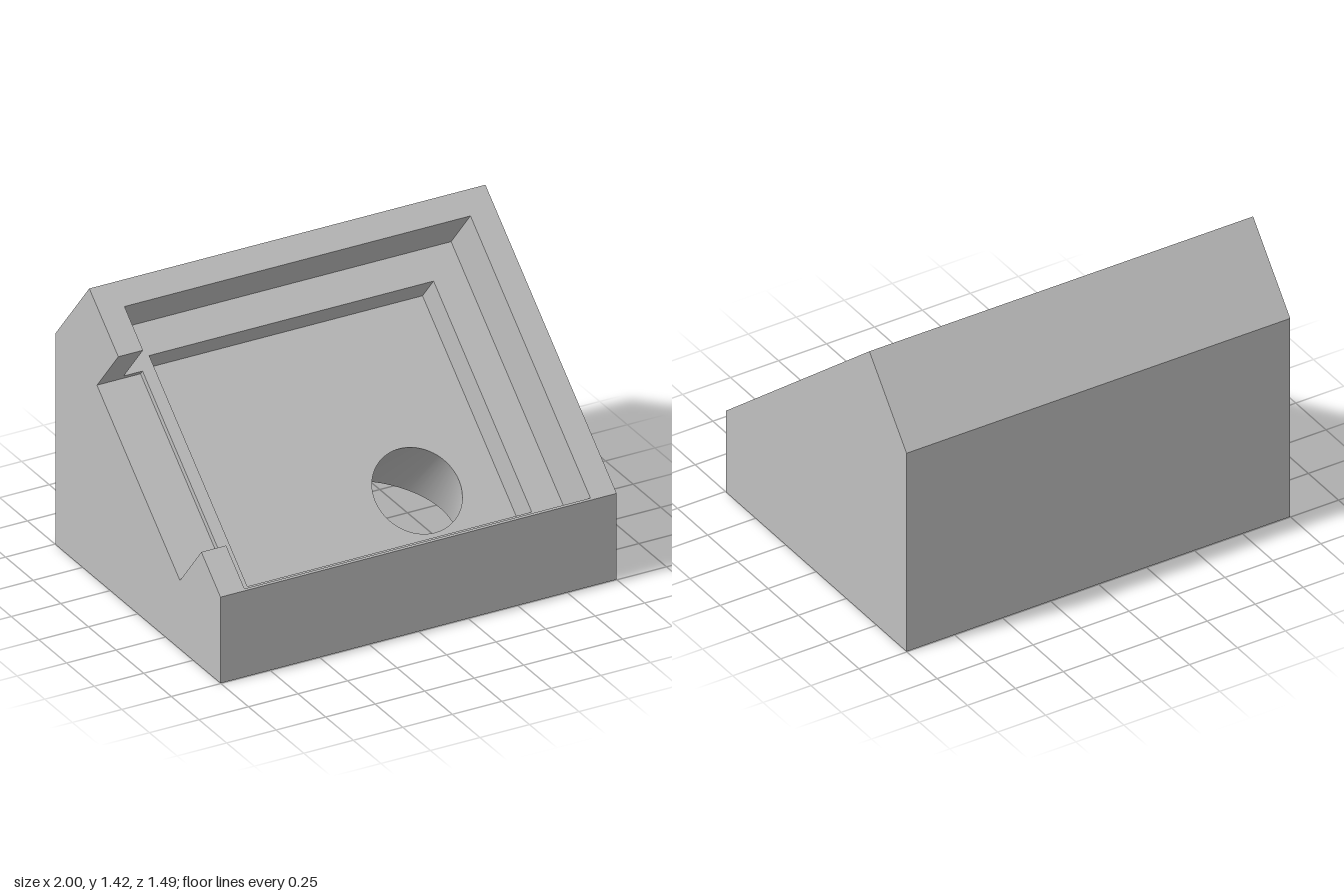
import * as THREE from 'three';

const V3 = (x, y, z) => new THREE.Vector3(x, y, z);
const V2 = ([x, y]) => new THREE.Vector2(x, y);

// wedge profile as [z, y]
const front = [0.747, 0.43], apex = [-0.44, 1.42], shoulder = [-0.747, 1.053];

// sloped frame: x across, s up the slope, h out of the slope
const run = V3(0, apex[1] - front[1], apex[0] - front[0]);
const LENGTH = run.length();
const U = run.clone().normalize();
const N = V3(1, 0, 0).cross(U);
const slope = new THREE.Matrix4().makeBasis(V3(1, 0, 0), U, N).setPosition(0, front[1], front[0]);
const onSlope = (x, s, h) => V3(x, s, h).applyMatrix4(slope);

// recess sizes in the sloped frame
const tray = { l: -0.875, r: 0.872, b: 0.01, t: 1.423, h: -0.273 };
const well = { l: -0.72, r: 0.716, b: 0.11, t: 1.266, h: -0.429 };
const slot = { r: -0.78, b: 0.226, t: 1.204, h: -0.302 };
const SEGMENTS = 64;

function sheet(outline, holes = []) {
  const shape = new THREE.Shape(outline.map(V2));
  for (const hole of holes) shape.holes.push(new THREE.Path(hole.map(V2)));
  return new THREE.ShapeGeometry(shape);
}

// flat four-cornered faces, corners counter-clockwise
function quads(list) {
  const points = list.flatMap(([a, b, c, d]) => [a, b, c, a, c, d]);
  const g = new THREE.BufferGeometry().setFromPoints(points);
  g.computeVertexNormals();
  return g;
}

// recess walls along a clockwise path on the slope
function walls(path, h0, h1) {
  return path.slice(1).map((b, i) => {
    const a = path[i];
    return [onSlope(...a, h0), onSlope(...a, h1), onSlope(...b, h1), onSlope(...b, h0)];
  });
}

// smooth bore surface between two rings, facing inwards
function bore(top, bottom) {
  const n = top.length, index = [];
  for (let i = 0; i < n; i++) {
    const j = (i + 1) % n;
    index.push(i, j, n + j, i, n + j, n + i);
  }
  const g = new THREE.BufferGeometry().setFromPoints([...top, ...bottom]);
  g.setIndex(index);
  g.computeVertexNormals();
  return g;
}

const ring = (fn) => Array.from({ length: SEGMENTS }, (_, i) => {
  const t = (i / SEGMENTS) * Math.PI * 2;
  return fn(Math.cos(t), Math.sin(t));
});

export function createModel() {
  const model = new THREE.Group();
  const grey = new THREE.MeshStandardMaterial({ color: 0xc0c0c0 });
  grey.name = 'light grey';
  const add = (name, geometry) => {
    const mesh = new THREE.Mesh(geometry, grey);
    mesh.name = name;
    model.add(mesh);
  };
  const addSloped = (name, h, geometry) => add(name, geometry.translate(0, 0, h).applyMatrix4(slope));

  // flared opening: round in the well floor, spreading down to the base
  const cx = 0.315, cs = 0.394, radius = 0.21, flare = 0.25;
  const openingTop = ring((c, s) => onSlope(cx + radius * c, cs + radius * s, well.h));
  const openingBottom = ring((c, s) => {
    const start = onSlope(cx + radius * c, cs + radius * s, well.h);
    const dir = V3(flare * c, 0, 0).addScaledVector(U, flare * s).sub(N);
    return start.addScaledVector(dir, -start.y / dir.y);
  });
  add('flaredOpening', bore(openingTop, openingBottom));

  // blind round hole in the base
  const px = -0.568, pz = -0.476, pr = 0.107, depth = 0.3;
  const pegRing = (y) => ring((c, s) => V3(px + pr * c, y, pz - pr * s));
  add('baseHoleWall', bore(pegRing(depth), pegRing(0)));
  add('baseHoleEnd', new THREE.CircleGeometry(pr, SEGMENTS).rotateX(Math.PI / 2).translate(px, depth, pz));

  // outer shell
  const zf = front[0], zb = shoulder[0];
  const flat = (points) => points.map((p) => [p.x, p.z]);
  add('base', sheet([[-1, zb], [1, zb], [1, zf], [-1, zf]],
    [flat(openingBottom), flat(pegRing(0))]).rotateX(Math.PI / 2));

  const strip = (a, b) => quads([[V3(-1, a[1], a[0]), V3(1, a[1], a[0]), V3(1, b[1], b[0]), V3(-1, b[1], b[0])]]);
  add('frontFace', strip([zf, 0], front));
  add('topBevel', strip(apex, shoulder));
  add('backFace', strip(shoulder, [zb, 0]));

  const profile = [[zf, 0], front, apex, shoulder, [zb, 0]];
  add('leftSide', sheet(profile.map(([z, y]) => [-z, y])).rotateY(Math.PI / 2).translate(1, 0, 0));
  const notch = [[slot.b, 0], [slot.b, slot.h], [slot.t, slot.h], [slot.t, 0]].map(([s, h]) => {
    const p = onSlope(0, s, h);
    return [p.z, p.y];
  });
  add('rightSide', sheet([profile[0], front, ...notch, apex, shoulder, profile[4]])
    .rotateY(-Math.PI / 2).translate(-1, 0, 0));

  // sloped rim around the tray, open at the side slot
  const trayPath = [[tray.l, slot.t], [tray.l, tray.t], [tray.r, tray.t],
    [tray.r, tray.b], [tray.l, tray.b], [tray.l, slot.b]];
  addSloped('rim', 0, sheet([[-1, 0], [1, 0], [1, LENGTH], [-1, LENGTH], [-1, slot.t],
    ...trayPath, [-1, slot.b]]));
  add('trayWalls', quads(walls(trayPath, 0, tray.h)));

  // ledge between tray and well
  const wellPath = [[well.l, well.b], [well.l, well.t], [well.r, well.t], [well.r, well.b]];
  addSloped('ledge', tray.h, sheet([...trayPath, [slot.r, slot.b], [slot.r, slot.t]], [wellPath]));

  // side slot
  addSloped('slotFloor', slot.h, sheet([[-1, slot.b], [slot.r, slot.b], [slot.r, slot.t], [-1, slot.t]]));
  add('slotWalls', quads([
    ...walls([[-1, slot.t], [tray.l, slot.t]], 0, slot.h),
    ...walls([[tray.l, slot.t], [slot.r, slot.t], [slot.r, slot.b], [tray.l, slot.b]], tray.h, slot.h),
    ...walls([[tray.l, slot.b], [-1, slot.b]], 0, slot.h),
  ]));

  // inner well
  add('wellWalls', quads(walls([...wellPath, wellPath[0]], tray.h, well.h)));
  addSloped('wellFloor', well.h, sheet(wellPath, [ring((c, s) => [cx + radius * c, cs + radius * s])]));

  return model;
}
